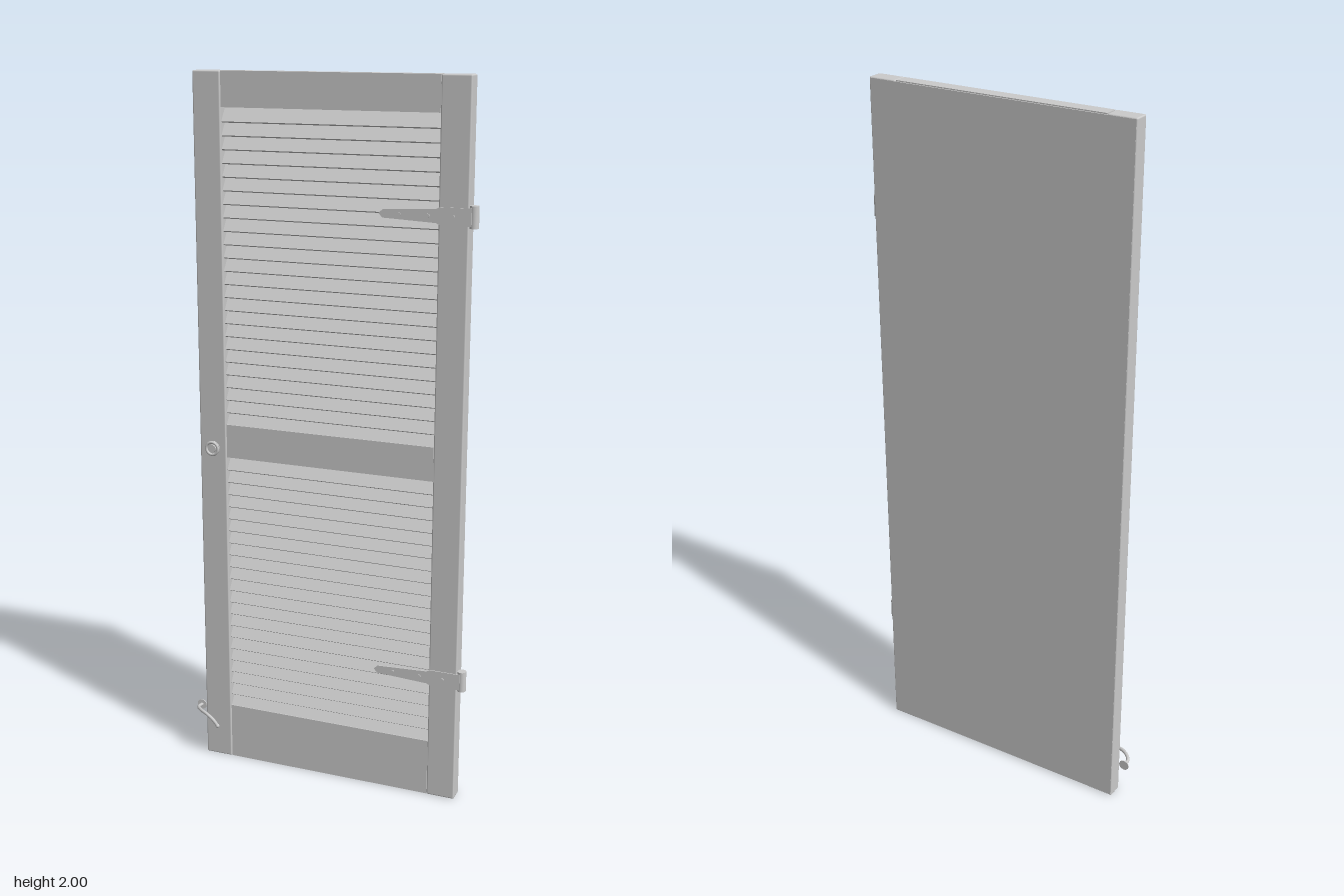
import * as THREE from 'three';
import { RoundedBoxGeometry } from 'three/addons/geometries/RoundedBoxGeometry.js';

const mat = new THREE.MeshStandardMaterial({ color: 0xcccccc });

function add(parent, name, geo, x = 0, y = 0, z = 0) {
  const mesh = new THREE.Mesh(geo, mat);
  mesh.name = name;
  mesh.position.set(x, y, z);
  parent.add(mesh);
  return mesh;
}

// Board given by its extents
function board(parent, name, x0, x1, y0, y1, z0, z1, r = 0) {
  const size = [x1 - x0, y1 - y0, z1 - z0];
  const geo = r ? new RoundedBoxGeometry(...size, 2, r) : new THREE.BoxGeometry(...size);
  return add(parent, name, geo, (x0 + x1) / 2, (y0 + y1) / 2, (z0 + z1) / 2);
}

// Cylinder lying along z
function disc(parent, name, r, z0, z1, x, y) {
  const geo = new THREE.CylinderGeometry(r, r, z1 - z0, 24).rotateX(Math.PI / 2);
  return add(parent, name, geo, x, y, (z0 + z1) / 2);
}

const INNER_L = -0.293, INNER_R = 0.32;

// Tilted louvre slats filling an opening, upper edge to the back
function louvres(parent, name, y0, y1, count) {
  const group = new THREE.Group();
  group.name = name;
  const pitch = (y1 - y0) / count;
  const geo = new THREE.BoxGeometry(INNER_R - INNER_L, 0.05, 0.006);
  for (let i = 0; i < count; i++) {
    const slat = add(group, 'slat', geo, (INNER_L + INNER_R) / 2, y0 + (i + 0.5) * pitch, -0.0125);
    slat.rotation.x = -0.6;
  }
  parent.add(group);
}

// Strap hinge: tapered strap, screws and barrel
function hinge(parent, y) {
  const group = new THREE.Group();
  group.name = 'hinge';
  group.position.y = y;
  const s = new THREE.Shape();
  s.moveTo(0.158, 0);
  s.lineTo(0.17, 0.011);
  s.lineTo(0.315, 0.018);
  s.lineTo(0.325, 0.023);
  s.lineTo(0.41, 0.023);
  s.lineTo(0.41, -0.023);
  s.lineTo(0.325, -0.023);
  s.lineTo(0.315, -0.018);
  s.lineTo(0.17, -0.011);
  s.closePath();
  const strap = new THREE.ExtrudeGeometry(s, { depth: 0.003, bevelEnabled: false });
  add(group, 'strap', strap, 0, 0, 0.009);
  for (const x of [0.215, 0.293, 0.361]) disc(group, 'screw', 0.005, 0.011, 0.015, x, 0);
  add(group, 'barrel', new THREE.CylinderGeometry(0.0125, 0.0125, 0.058, 24), 0.413, 0, -0.003);
  parent.add(group);
}

export function createModel() {
  const root = new THREE.Group();
  root.name = 'louvredShutter';

  // Frame
  board(root, 'rightStile', -0.375, INNER_L - 0.001, 0, 2, -0.0365, 0.009, 0.004);
  board(root, 'leftStile', INNER_R + 0.001, 0.402, 0, 2, -0.0365, 0.009, 0.004);
  board(root, 'bottomRail', INNER_L, INNER_R, 0, 0.165, -0.033, 0.006);
  board(root, 'middleRail', INNER_L, INNER_R, 0.934, 1.03, -0.033, 0.006);
  board(root, 'topRail', INNER_L, INNER_R, 1.905, 2, -0.033, 0.006);
  board(root, 'backPanel', -0.372, 0.399, 0.003, 1.997, -0.0367, -0.031);

  // Louvres
  louvres(root, 'lowerLouvres', 0.165, 0.934, 21);
  louvres(root, 'upperLouvres', 1.03, 1.905, 24);

  // Hinges
  for (const y of [0.363, 1.647]) hinge(root, y);

  // Round pull with a raised rim
  const pull = new THREE.Group();
  pull.name = 'pull';
  disc(pull, 'pullPlate', 0.021, 0.008, 0.012, -0.335, 0.958);
  disc(pull, 'pullNeck', 0.011, 0.011, 0.017, -0.335, 0.958);
  add(pull, 'pullRing', new THREE.TorusGeometry(0.018, 0.004, 10, 32), -0.335, 0.958, 0.016);
  root.add(pull);

  // Curved holdback hook with its wall rosette
  const hook = new THREE.Group();
  hook.name = 'holdback';
  const path = new THREE.CatmullRomCurve3([
    [-0.412, 0.128, -0.034], [-0.412, 0.13, -0.012], [-0.393, 0.132, 0.01],
    [-0.365, 0.129, 0.025], [-0.342, 0.117, 0.031], [-0.33, 0.1, 0.029],
  ].map((p) => new THREE.Vector3(...p)));
  add(hook, 'hookArm', new THREE.TubeGeometry(path, 32, 0.005, 10));
  add(hook, 'hookTip', new THREE.SphereGeometry(0.006, 14, 10), -0.33, 0.1, 0.029);
  disc(hook, 'hookRosette', 0.015, -0.0365, -0.034, -0.412, 0.128);
  root.add(hook);

  return root;
}
